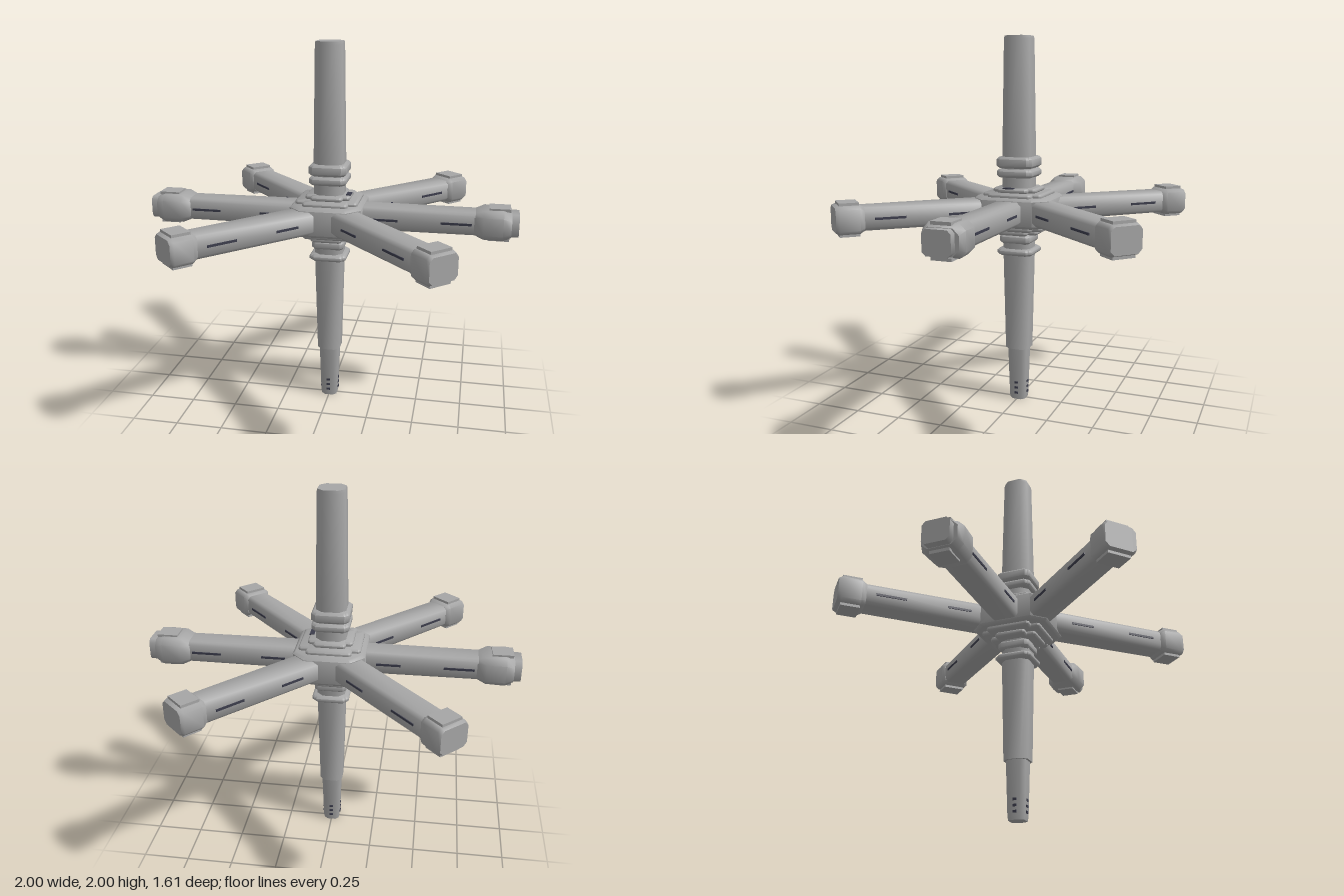
import * as THREE from 'three';
import { toCreasedNormals } from 'three/addons/utils/BufferGeometryUtils.js';

const hull = new THREE.MeshStandardMaterial({ color: 0xa6a6a6 });
hull.name = 'hull grey';
const dark = new THREE.MeshStandardMaterial({ color: 0x3c3d4c });
dark.name = 'dark window';

// Chamfered-rectangle loft along y; sections are [y, halfX, halfZ, chamfer]
function loft(sections, crease = 0.9) {
  const rings = sections.map(([y, hx, hz, c]) => [
    [hx, c - hz], [hx, hz - c], [hx - c, hz], [c - hx, hz],
    [-hx, hz - c], [-hx, c - hz], [c - hx, -hz], [hx - c, -hz],
  ].map(([x, z]) => [x, y, z]));
  const pos = [];
  const tri = (a, b, c) => pos.push(...a, ...b, ...c);
  for (let r = 0; r < rings.length - 1; r++) {
    for (let i = 0; i < 8; i++) {
      const j = (i + 1) % 8, lo = rings[r], hi = rings[r + 1];
      tri(lo[i], hi[i], lo[j]);
      tri(lo[j], hi[i], hi[j]);
    }
  }
  const bottom = rings[0], top = rings[rings.length - 1];
  for (let i = 1; i < 7; i++) {
    tri(top[0], top[i + 1], top[i]);
    tri(bottom[0], bottom[i], bottom[i + 1]);
  }
  const g = new THREE.BufferGeometry();
  g.setAttribute('position', new THREE.Float32BufferAttribute(pos, 3));
  g.computeVertexNormals();
  return toCreasedNormals(g, crease);
}

function add(parent, name, geometry, material = hull) {
  const mesh = new THREE.Mesh(geometry, material);
  mesh.name = name;
  parent.add(mesh);
  return mesh;
}

function block(parent, name, size, at, material = hull) {
  const mesh = add(parent, name, new THREE.BoxGeometry(...size), material);
  mesh.position.set(...at);
  return mesh;
}

// Plus-shaped slab with bevelled rim, from two crossing lofts
function plusCollar(parent, name, y0, y1, reach, half) {
  const e = Math.min(0.012, (y1 - y0) * 0.3);
  for (const [hx, hz] of [[reach, half], [half, reach]]) {
    add(parent, name, loft([
      [y0, hx - e, hz - e, 0.008], [y0 + e, hx, hz, 0.012],
      [y1 - e, hx, hz, 0.012], [y1, hx - e, hz - e, 0.008],
    ]));
  }
}

// One spoke along +x, centred on its own axis
function makeArm(length, wideCap) {
  const arm = new THREE.Group();
  arm.name = 'arm';
  const along = (name, sections) => add(arm, name, loft(sections)).rotation.z = -Math.PI / 2;
  along('armBeam', [[0.08, 0.062, 0.076, 0.02], [length, 0.06, 0.07, 0.018]]);
  if (wideCap) {
    along('endPod', [
      [0.77, 0.058, 0.07, 0.02], [0.82, 0.076, 0.1, 0.03],
      [0.92, 0.078, 0.104, 0.03], [0.962, 0.062, 0.09, 0.03],
    ]);
    for (const s of [-1, 1]) block(arm, 'podPlate', [0.11, 0.016, 0.1], [0.9, s * 0.079, 0]);
  } else {
    along('endPod', [
      [0.81, 0.06, 0.072, 0.018], [0.835, 0.072, 0.085, 0.018],
      [0.935, 0.072, 0.086, 0.018], [0.955, 0.064, 0.082, 0.02],
    ]);
    for (const s of [-1, 1]) block(arm, 'podPlate', [0.1, 0.018, 0.12], [0.885, s * 0.077, 0]);
  }
  // Window strips on both flanks
  for (const s of [-1, 1]) {
    for (const [x, len] of [[0.31, 0.13], [0.68, 0.16]]) {
      block(arm, 'windowStrip', [len, 0.012, 0.006], [x, 0, s * (0.0775 - 0.0065 * x)], dark);
    }
  }
  return arm;
}

export function createModel() {
  const model = new THREE.Group();
  model.name = 'spaceStation';

  // Central mast
  add(model, 'upperMast', loft([
    [1.1, 0.08, 0.08, 0.035], [1.37, 0.08, 0.08, 0.035],
    [1.985, 0.071, 0.071, 0.032], [2, 0.068, 0.068, 0.03],
  ]));
  add(model, 'lowerMast', loft([[0.3, 0.063, 0.066, 0.028], [1.05, 0.08, 0.08, 0.035]]));
  add(model, 'mastTip', loft([
    [0, 0.042, 0.042, 0.018], [0.02, 0.046, 0.046, 0.02], [0.31, 0.054, 0.054, 0.022],
  ]));
  for (const y of [0.04, 0.07, 0.1]) {
    for (const s of [-1, 1]) {
      block(model, 'tipWindow', [0.006, 0.012, 0.02], [s * 0.048, y, 0], dark);
      block(model, 'tipWindow', [0.02, 0.012, 0.006], [0, y, s * 0.048], dark);
    }
  }

  // Mast collars
  plusCollar(model, 'upperCollar', 1.31, 1.37, 0.1, 0.088);
  plusCollar(model, 'upperCollar', 1.26, 1.305, 0.1, 0.088);
  plusCollar(model, 'lowerCollar', 0.9, 0.95, 0.086, 0.08);
  plusCollar(model, 'lowerCollar', 0.838, 0.872, 0.1, 0.085);

  // Hub with stepped plates above and below
  add(model, 'hub', loft([
    [1.005, 0.175, 0.195, 0.065], [1.02, 0.19, 0.21, 0.07],
    [1.15, 0.19, 0.21, 0.07], [1.163, 0.175, 0.195, 0.065],
  ]));
  plusCollar(model, 'hubTopPlate', 1.155, 1.182, 0.165, 0.12);
  plusCollar(model, 'hubTopPlate', 1.18, 1.205, 0.12, 0.085);
  plusCollar(model, 'hubBottomPlate', 0.982, 1.015, 0.165, 0.12);
  plusCollar(model, 'hubBottomPlate', 0.955, 0.985, 0.13, 0.085);
  block(model, 'hubWindow', [0.025, 0.006, 0.06], [0.108, 1.206, 0.02], dark);

  // Six arms: two sideways, four diagonal
  for (const side of [1, -1]) {
    const arm = makeArm(1, true);
    arm.name = side > 0 ? 'leftArm' : 'rightArm';
    arm.position.set(0, 1.085, -0.003);
    arm.rotation.y = side > 0 ? 0 : Math.PI;
    model.add(arm);
    for (const front of [1, -1]) {
      const diagonal = makeArm(0.94, false);
      diagonal.name = (front > 0 ? 'front' : 'back') + (side > 0 ? 'LeftArm' : 'RightArm');
      diagonal.position.set(0, 1.085, front * 0.05);
      diagonal.rotation.y = Math.atan2(-front * 0.705, side * 0.66);
      model.add(diagonal);
    }
  }
  return model;
}
